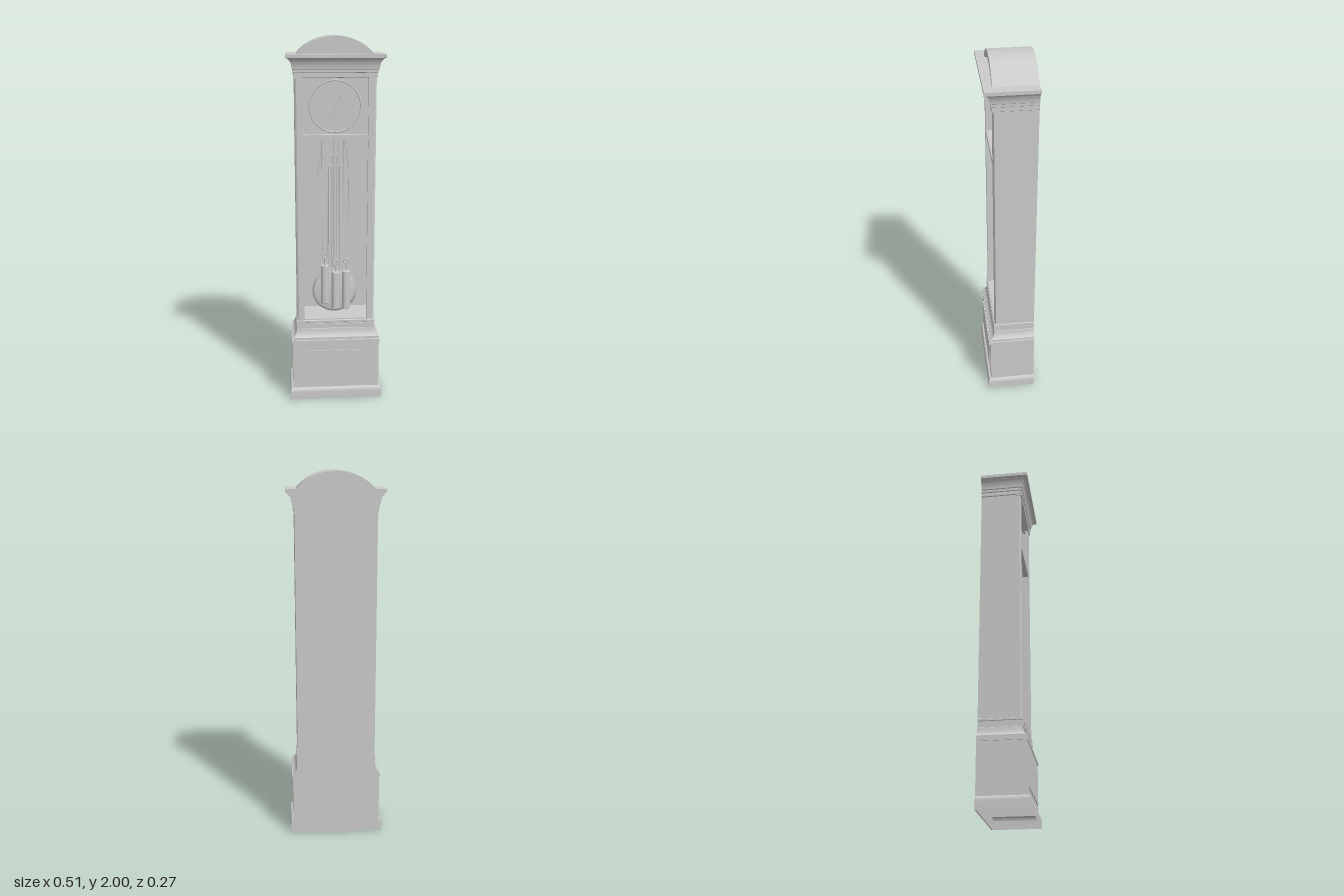
import * as THREE from 'three';
import { toCreasedNormals } from 'three/addons/utils/BufferGeometryUtils.js';

const HALF = 0.213, FRONT = 0.088, BACK = -0.135;

export function createModel() {
  const clock = new THREE.Group();
  clock.name = 'longcaseClock';
  const mat = new THREE.MeshStandardMaterial({ color: 0xcccccc });
  const thin = new THREE.MeshStandardMaterial({ color: 0xcccccc, side: THREE.DoubleSide });

  const add = (name, geo, x = 0, y = 0, z = 0, m = mat, parent = clock) => {
    const mesh = new THREE.Mesh(geo, m);
    mesh.name = name;
    mesh.position.set(x, y, z);
    parent.add(mesh);
    return mesh;
  };
  const group = (name, x = 0, y = 0, z = 0) => {
    const g = new THREE.Group();
    g.name = name;
    g.position.set(x, y, z);
    clock.add(g);
    return g;
  };
  // box given by its lowest and highest corners
  const box = (name, x0, x1, y0, y1, z0, z1, parent = clock) =>
    add(name, new THREE.BoxGeometry(x1 - x0, y1 - y0, z1 - z0),
      (x0 + x1) / 2, (y0 + y1) / 2, (z0 + z1) / 2, mat, parent);
  const rod = (name, a, b, r, parent = clock) => {
    const A = new THREE.Vector3(...a), B = new THREE.Vector3(...b);
    const mesh = add(name, new THREE.CylinderGeometry(r, r, A.distanceTo(B), 8), 0, 0, 0, mat, parent);
    mesh.position.copy(A).add(B).multiplyScalar(0.5);
    mesh.quaternion.setFromUnitVectors(new THREE.Vector3(0, 1, 0), B.sub(A).normalize());
    return mesh;
  };
  const curve = (a, c, b, n = 6) => new THREE.QuadraticBezierCurve(
    new THREE.Vector2(...a), new THREE.Vector2(...c), new THREE.Vector2(...b)).getPoints(n).map(p => [p.x, p.y]);

  // moulding profile [offset, y] carried round left, front and right, mitred at the corners
  const moulding = (name, profile) => {
    const ring = ([o, y]) => [[-HALF - o, y, BACK], [-HALF - o, y, FRONT + o],
      [HALF + o, y, FRONT + o], [HALF + o, y, BACK]];
    const pos = [];
    for (let i = 0; i + 1 < profile.length; i++) {
      const lo = ring(profile[i]), hi = ring(profile[i + 1]);
      for (let j = 0; j < 3; j++) {
        for (const p of [lo[j], lo[j + 1], hi[j + 1], lo[j], hi[j + 1], hi[j]]) pos.push(...p);
      }
    }
    const geo = new THREE.BufferGeometry();
    geo.setAttribute('position', new THREE.Float32BufferAttribute(pos, 3));
    add(name, toCreasedNormals(geo, 0.6), 0, 0, 0, thin);
  };

  // plinth, base and waist moulding, open underneath
  const lower = [[0.044, 0], ...curve([0.044, 0.045], [0.044, 0.062], [0.028, 0.065]),
    [0.028, 0.335], [0.032, 0.335], [0.032, 0.35], [0.026, 0.352], [0.026, 0.365],
    ...curve([0.023, 0.367], [0.006, 0.375], [0.004, 0.41]), [0.002, 0.412], [0.002, 0.445],
    [0.005, 0.447], [0.005, 0.457], [0, 0.46]];
  moulding('baseAndWaist', [...lower, [-0.03, 0.46]]);
  box('basePanel', -0.196, 0.196, 0.11, 0.29, 0.11, 0.121);
  box('waistPanel', -0.165, 0.165, 0.415, 0.438, 0.08, 0.094);
  box('caseFloor', -0.2, 0.2, 0.44, 0.458, BACK + 0.005, 0.08);

  // cornice
  const upper = [[0, 1.79], [0.004, 1.793], [0.004, 1.815], [0.008, 1.818], [0.008, 1.832],
    ...curve([0.012, 1.835], [0.016, 1.875], [0.037, 1.89], 8), [0.044, 1.892], [0.044, 1.91]];
  moulding('cornice', [[-0.04, 1.79], ...upper]);
  box('corniceTop', -0.257, 0.257, 1.9, 1.91, BACK, 0.132);

  // side walls with chamfered front stiles
  for (const s of [1, -1]) {
    const plan = [[0.172, 0.088], [0.204, 0.088], [0.213, 0.082], [0.213, BACK],
      [0.195, BACK], [0.195, 0.07], [0.172, 0.07]];
    const shape = new THREE.Shape(plan.map(([x, z]) => new THREE.Vector2(s * x, -z)));
    const geo = new THREE.ExtrudeGeometry(shape, { depth: 1.34, bevelEnabled: false });
    add(s > 0 ? 'leftSide' : 'rightSide', geo.rotateX(-Math.PI / 2), 0, 0.455, 0);
    const x0 = s > 0 ? 0.17 : -0.215;
    box('stileCapital', x0, x0 + 0.045, 1.785, 1.815, 0.06, 0.094);
    box('stileFoot', x0, x0 + 0.045, 0.412, 0.455, 0.06, 0.094);
  }
  box('doorRail', -0.174, 0.174, 1.47, 1.495, 0.055, 0.086);
  box('bottomRail', -0.174, 0.174, 0.452, 0.466, 0.07, 0.086);
  box('topRail', -0.174, 0.174, 1.795, 1.815, 0.05, 0.088);

  // arched hood: outer band with a sunk panel
  const arcPoints = (half, rise) => {
    const r = (half * half + rise * rise) / (2 * rise), a = Math.asin(half / r);
    return Array.from({ length: 41 }, (_, i) => {
      const t = a - (2 * a * i) / 40;
      return new THREE.Vector2(r * Math.sin(t), 1.91 + rise - r + r * Math.cos(t));
    });
  };
  const outer = arcPoints(0.2, 0.09);
  const hood = new THREE.Shape([...outer, ...arcPoints(0.165, 0.055).reverse()]);
  const smoothExtrude = (shape, depth) => toCreasedNormals(
    new THREE.ExtrudeGeometry(shape, { depth, bevelEnabled: false }), 0.5);
  add('hoodArch', smoothExtrude(hood, FRONT - BACK), 0, 0, BACK);
  add('hoodPanel', smoothExtrude(new THREE.Shape(arcPoints(0.17, 0.06)), 0.02), 0, 0, 0.035);

  // back board follows the whole outline
  const side = [...lower, ...upper].map(([o, y]) => new THREE.Vector2(HALF + o, y));
  const outline = [...side, ...outer, ...side.map(p => new THREE.Vector2(-p.x, p.y)).reverse()];
  add('backBoard', new THREE.ExtrudeGeometry(new THREE.Shape(outline),
    { depth: 0.006, bevelEnabled: false }), 0, 0, BACK);

  // dial with hour marks, winding holes and hands
  box('dialPlate', -0.195, 0.195, 1.48, 1.8, 0.035, 0.05);
  const dial = group('dial', 0, 1.64, 0.05);
  add('dialRing', new THREE.TorusGeometry(0.135, 0.004, 8, 64), 0, 0, 0.001, mat, dial);
  add('dialFace', new THREE.CylinderGeometry(0.13, 0.13, 0.004, 64).rotateX(Math.PI / 2), 0, 0, 0, mat, dial);
  for (let i = 0; i < 12; i++) {
    const a = (i * Math.PI) / 6;
    add('hourMark', new THREE.BoxGeometry(0.006, 0.022, 0.003),
      0.108 * Math.sin(a), 0.108 * Math.cos(a), 0.002, mat, dial).rotation.z = -a;
  }
  for (const [x, y] of [[-0.055, -0.025], [0, -0.045], [0.055, -0.025]]) {
    add('windingHole', new THREE.TorusGeometry(0.005, 0.0015, 6, 16), x, y, 0.002, mat, dial);
  }
  rod('minuteHand', [0, 0, 0.006], [0.045, 0.085, 0.006], 0.002, dial);
  rod('hourHand', [0, 0, 0.005], [-0.03, -0.06, 0.005], 0.0025, dial);

  // pendulum: rod grid, hanger and lens-shaped bob
  const pendulum = group('pendulum', 0, 0, -0.02);
  const lens = [[0, -0.014], [0.06, -0.011], [0.11, -0.005], [0.125, 0], [0.11, 0.005], [0.06, 0.011], [0, 0.014]];
  add('bob', new THREE.LatheGeometry(lens.map(p => new THREE.Vector2(...p)), 56).rotateX(Math.PI / 2),
    0, 0.595, 0, mat, pendulum);
  for (let i = -2; i <= 2; i++) {
    rod('pendulumRod', [i * 0.015, 0.7, 0], [i * 0.015, 1.31, 0], 0.004, pendulum);
  }
  box('upperBridge', -0.038, 0.038, 1.306, 1.318, -0.006, 0.006, pendulum);
  box('lowerBridge', -0.038, 0.038, 0.715, 0.727, -0.006, 0.006, pendulum);
  for (const x of [-0.015, 0.015]) rod('hangerSide', [x, 1.31, 0], [x, 1.37, 0], 0.003, pendulum);
  box('hangerTop', -0.018, 0.018, 1.366, 1.374, -0.004, 0.004, pendulum);
  rod('suspension', [0, 1.31, 0], [0, 1.5, 0], 0.004, pendulum);

  // three weights on pulleys and cables
  for (const [x, y, h] of [[-0.055, 0.535, 0.225], [0.005, 0.5, 0.22], [0.063, 0.505, 0.22]]) {
    const weight = group('weight', x, y, 0.02);
    const shell = [[0, 0], [0.02, 0], [0.023, 0.004], [0.023, h - 0.004], [0.02, h], [0, h]];
    add('weightBody', toCreasedNormals(
      new THREE.LatheGeometry(shell.map(p => new THREE.Vector2(...p)), 28), 0.6), 0, 0, 0, mat, weight);
    rod('hook', [0, h, 0], [0, h + 0.04, 0], 0.004, weight);
    add('pulley', new THREE.TorusGeometry(0.014, 0.004, 8, 24), 0, h + 0.054, 0, mat, weight);
    for (const s of [-1, 1]) {
      rod('cable', [s * 0.014, h + 0.054, 0], [s * 0.014, 1.5 - y, 0], 0.0015, weight);
    }
  }

  // slanting chime rods under the movement
  for (const s of [-1, 1]) {
    rod('chimeRod', [s * 0.09, 1.25, -0.05], [s * 0.055, 1.49, -0.05], 0.003);
  }
  return clock;
}
